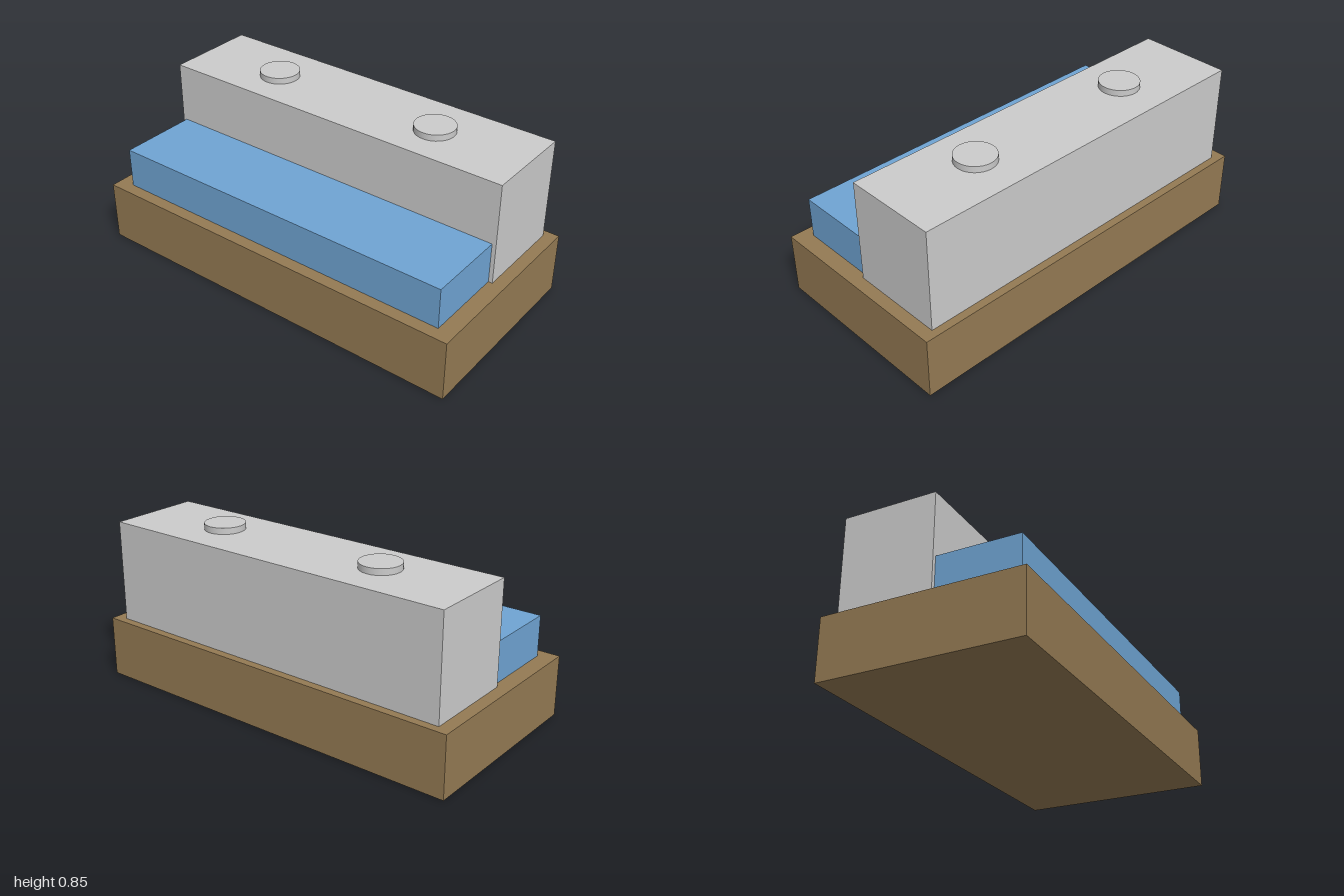
import * as THREE from 'three';

const grey = new THREE.MeshStandardMaterial({ color: 0xcccccc });
const brown = new THREE.MeshStandardMaterial({ color: 0x947a53 });
const blue = new THREE.MeshStandardMaterial({ color: 0x6fa4d3 });

const BASE_TOP = 0.306;
const BODY_TOP = 0.817;

// Box centred on x = 0, given its width and its y and z extents
function block(name, width, y0, y1, z0, z1, material) {
  const mesh = new THREE.Mesh(new THREE.BoxGeometry(width, y1 - y0, z1 - z0), material);
  mesh.name = name;
  mesh.position.set(0, (y0 + y1) / 2, (z0 + z1) / 2);
  return mesh;
}

export function createModel() {
  const model = new THREE.Group();
  model.name = 'steppedBlock';

  // Plinth, tall rear body and low front step
  model.add(
    block('base', 2, 0, BASE_TOP, -0.49, 0.49, brown),
    block('rearBody', 1.876, BASE_TOP, BODY_TOP, -0.45, 0.02, grey),
    block('frontStep', 1.836, BASE_TOP, 0.51, 0.02, 0.428, blue)
  );

  // Pair of flat round caps on the rear body
  const capHeight = 0.031;
  const capGeometry = new THREE.CylinderGeometry(0.1, 0.1, capHeight, 32);
  for (const side of [-1, 1]) {
    const cap = new THREE.Mesh(capGeometry, grey);
    cap.name = side > 0 ? 'leftCap' : 'rightCap';
    cap.position.set(side * 0.459, BODY_TOP + capHeight / 2, -0.204);
    model.add(cap);
  }
  return model;
}
